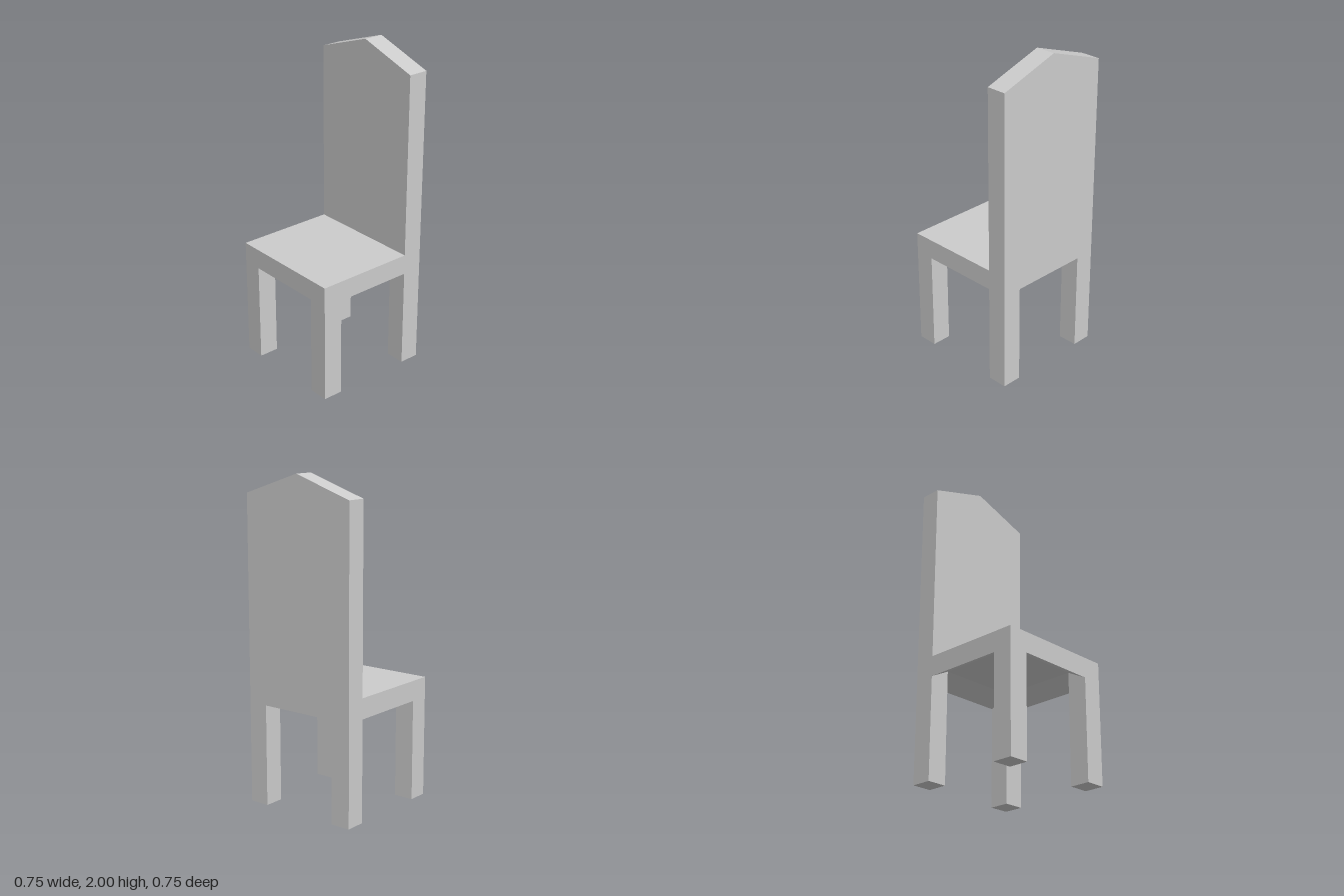
import * as THREE from 'three';

const HALF = 0.375;      // half the seat width
const T = 0.125;         // thickness of legs and backrest
const INNER = HALF - T;
const RIM = 0.625;       // lower edge of the seat
const UNDER = 0.69;      // recessed underside of the seat
const TOP = 0.75;        // seat surface

export function createModel() {
  const model = new THREE.Group();
  model.name = 'chair';
  const material = new THREE.MeshStandardMaterial({ color: 0xcccccc, flatShading: true });

  const add = (name, geometry, x = 0, y = 0, z = 0) => {
    const mesh = new THREE.Mesh(geometry, material);
    mesh.name = name;
    mesh.position.set(x, y, z);
    model.add(mesh);
    return mesh;
  };
  const extrude = (points, depth) => new THREE.ExtrudeGeometry(
    new THREE.Shape(points.map(([x, y]) => new THREE.Vector2(x, y))),
    { depth, bevelEnabled: false });

  // Seat slab
  add('seat', new THREE.BoxGeometry(2 * HALF, TOP - UNDER, 2 * HALF), 0, (TOP + UNDER) / 2, 0);

  // Sloping rim under each side of the seat, between the legs
  const rim = extrude([[HALF, RIM], [HALF, UNDER], [INNER, UNDER]], 2 * INNER);
  rim.translate(0, 0, -INNER);
  for (let i = 0; i < 4; i++) add('seatRim', rim).rotation.y = i * Math.PI / 2;

  // Four square legs
  const leg = new THREE.BoxGeometry(T, UNDER, T);
  const offset = HALF - T / 2;
  for (const x of [-1, 1]) {
    for (const z of [-1, 1]) {
      add(x > 0 ? 'backrestLeg' : 'seatLeg', leg, x * offset, UNDER / 2, z * offset);
    }
  }

  // Tall backrest with a gabled top, along the +x side
  const back = extrude([[-HALF, TOP], [HALF, TOP], [HALF, 1.875], [0, 2], [-HALF, 1.875]], T);
  back.rotateY(Math.PI / 2);
  add('backrest', back, INNER, 0, 0);

  return model;
}
